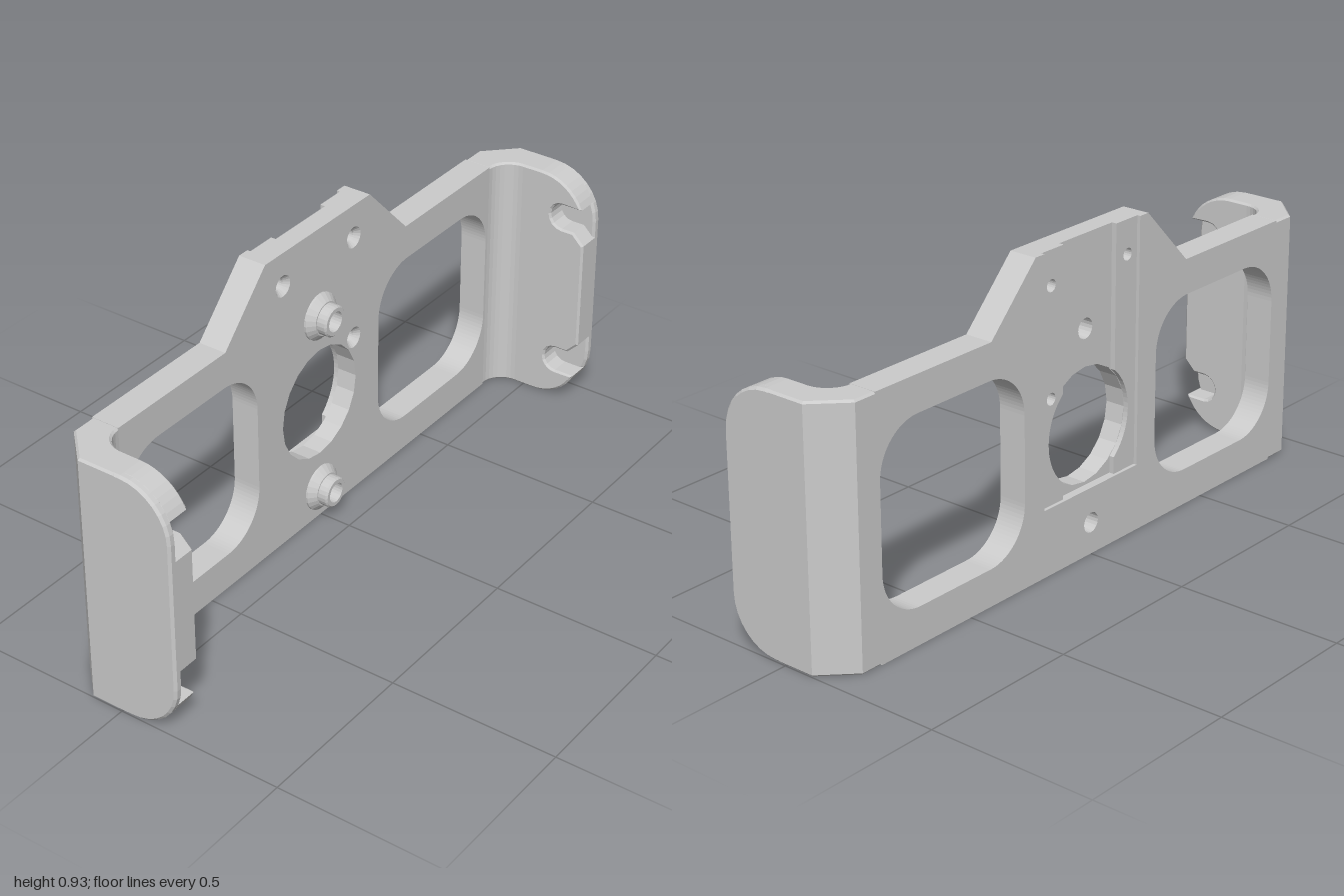
import * as THREE from 'three';

const material = new THREE.MeshStandardMaterial({ color: 0xcccccc, flatShading: true });
const thinMaterial = new THREE.MeshStandardMaterial({ color: 0xcccccc, side: THREE.DoubleSide });
const PI = Math.PI;

function add(group, name, geometry, mat = material) {
  const mesh = new THREE.Mesh(geometry, mat);
  mesh.name = name;
  group.add(mesh);
  return mesh;
}

function polygon(points) {
  return new THREE.Shape(points.map(([x, y]) => new THREE.Vector2(x, y)));
}

function circle(x, y, r) {
  return new THREE.Path().absarc(x, y, r, 0, 2 * PI, true);
}

function roundedWindow(x0, y0, x1, y1, r) {
  return new THREE.Path()
    .absarc(x1 - r, y0 + r, r, -PI / 2, 0)
    .absarc(x1 - r, y1 - r, r, 0, PI / 2)
    .absarc(x0 + r, y1 - r, r, PI / 2, PI)
    .absarc(x0 + r, y0 + r, r, PI, 1.5 * PI)
    .closePath();
}

// Extrude with overall length kept; b is an inset edge chamfer
function extrude(shape, length, b = 0, curveSegments = 10) {
  return new THREE.ExtrudeGeometry(shape, {
    depth: length - 2 * b, curveSegments, bevelEnabled: b > 0,
    bevelThickness: b, bevelSize: b, bevelOffset: -b, bevelSegments: 1,
  }).translate(0, 0, b);
}

const screwHoles = [[-0.16, 0.83], [0.16, 0.83], [0.16, 0.51]];
const bossHeights = [0.095, 0.66];
const eye = { y: 0.38, r: 0.17 };

// One slice of the back plate; "notch" draws the channel opening in its top edge
function plateSlice(z0, z1, notch, holes) {
  const shape = polygon([[-0.41, 0.75], [-0.84, 0.75], [-0.84, 0], [0.84, 0], [0.84, 0.75],
    [0.41, 0.75], [0.235, 0.93]]);
  if (notch) notch(shape);
  shape.lineTo(-0.235, 0.93);
  shape.lineTo(-0.41, 0.75);
  shape.holes = [
    roundedWindow(-0.83, 0.11, -0.28, 0.645, 0.14),
    roundedWindow(0.28, 0.11, 0.83, 0.645, 0.14),
    ...holes,
  ];
  return extrude(shape, z1 - z0).translate(0, 0, z0);
}

// Deep middle channel, running into the round opening
function innerChannel(s) {
  const w = 0.11, a = Math.acos(w / eye.r);
  s.lineTo(w, 0.93);
  s.absarc(0, eye.y, eye.r, a, -a, true);
  s.lineTo(w, 0.2);
  s.lineTo(-w, 0.2);
  s.absarc(0, eye.y, eye.r, PI + a, PI - a, true);
  s.lineTo(-w, 0.93);
}

// Shallow wide channel
function outerChannel(s) {
  for (const [x, y] of [[0.2, 0.93], [0.2, 0.2], [-0.2, 0.2], [-0.2, 0.93]]) s.lineTo(x, y);
}

function backPlate() {
  const g = new THREE.Group();
  g.name = 'backPlate';
  const bores = bossHeights.map((y) => circle(0, y, 0.03));
  const screws = (r) => screwHoles.map(([x, y]) => circle(x, y, r));
  const round = circle(0, eye.y, eye.r);
  add(g, 'plateFront', plateSlice(-0.115, -0.1, null, [round, ...bores, ...screws(0.032)]));
  add(g, 'plateCore', plateSlice(-0.16, -0.115, null, [round, ...bores, ...screws(0.018)]));
  add(g, 'plateLedge', plateSlice(-0.175, -0.16, innerChannel, [bores[0], ...screws(0.018)]));
  add(g, 'plateBack', plateSlice(-0.185, -0.175, outerChannel, [bores[0]]));

  // Countersinks of the small screw holes
  for (const [x, y] of screwHoles) {
    const cone = new THREE.CylinderGeometry(0.032, 0.018, 0.015, 20, 1, true)
      .rotateX(PI / 2).translate(x, y, -0.1075);
    add(g, 'countersink', cone, thinMaterial);
  }
  return g;
}

// Stepped bushing around a through bore
function boss(y) {
  const profile = [[0.03, -0.01], [0.07, -0.01], [0.07, 0.006], [0.05, 0.025], [0.046, 0.025],
    [0.046, 0.05], [0.041, 0.055], [0.03, 0.055], [0.03, -0.01]];
  return new THREE.LatheGeometry(profile.map(([r, h]) => new THREE.Vector2(r, h)), 24)
    .rotateX(PI / 2).translate(0, y, -0.1);
}

// Side profiles are drawn with horizontal = -z, then turned to face sideways
function sideExtrude(shape, x0, x1, b) {
  return extrude(shape, x1 - x0, b, 4).rotateY(PI / 2).translate(x0, 0, 0);
}

function sideArm() {
  const g = new THREE.Group();
  g.name = 'sideArm';

  // Corner: chamfered outside, filleted inside
  const corner = new THREE.Shape();
  corner.moveTo(0.835, 0.185);
  corner.lineTo(0.835, 0.1);
  corner.lineTo(0.84, 0.1);
  corner.absarc(0.84, 0.03, 0.07, PI / 2, 0, true);
  for (const [x, v] of [[0.91, -0.02], [1, -0.02], [1, 0.095], [0.91, 0.185]]) corner.lineTo(x, v);
  add(g, 'corner', extrude(corner, 0.75, 0.006, 4).rotateX(-PI / 2));

  // Outer skin with rounded front corners
  const skin = new THREE.Shape();
  skin.moveTo(0.09, 0);
  skin.lineTo(-0.035, 0);
  skin.absarc(-0.035, 0.15, 0.15, 1.5 * PI, PI, true);
  skin.absarc(-0.035, 0.6, 0.15, PI, PI / 2, true);
  skin.lineTo(0.09, 0.75);
  add(g, 'armSkin', sideExtrude(skin, 0.972, 1, 0.007));

  // Inner layer: two hooks and a middle lip, parted by round-ended notches
  const a = Math.asin(0.4);
  const grip = new THREE.Shape();
  grip.moveTo(0.03, 0);
  grip.lineTo(-0.035, 0);
  grip.absarc(-0.035, 0.15, 0.15, 1.5 * PI, PI + a, true);
  grip.absarc(-0.11, 0.13, 0.04, -PI / 2, PI / 2);
  for (const [u, v] of [[-0.15, 0.17], [-0.185, 0.205], [-0.185, 0.545], [-0.15, 0.58]]) grip.lineTo(u, v);
  grip.absarc(-0.11, 0.62, 0.04, -PI / 2, PI / 2);
  grip.absarc(-0.035, 0.6, 0.15, PI - a, PI / 2, true);
  grip.lineTo(0.03, 0.75);
  add(g, 'armGrip', sideExtrude(grip, 0.91, 0.985, 0.006));
  return g;
}

export function createModel() {
  const model = new THREE.Group();
  model.name = 'mountingBracket';
  model.add(backPlate());
  for (const y of bossHeights) add(model, 'boss', boss(y), thinMaterial).material.flatShading = true;

  // The arm is symmetric in height, so a half turn gives the other side
  const left = sideArm();
  left.name = 'leftArm';
  const right = sideArm();
  right.name = 'rightArm';
  right.rotation.z = PI;
  right.position.y = 0.75;
  model.add(left, right);
  return model;
}
